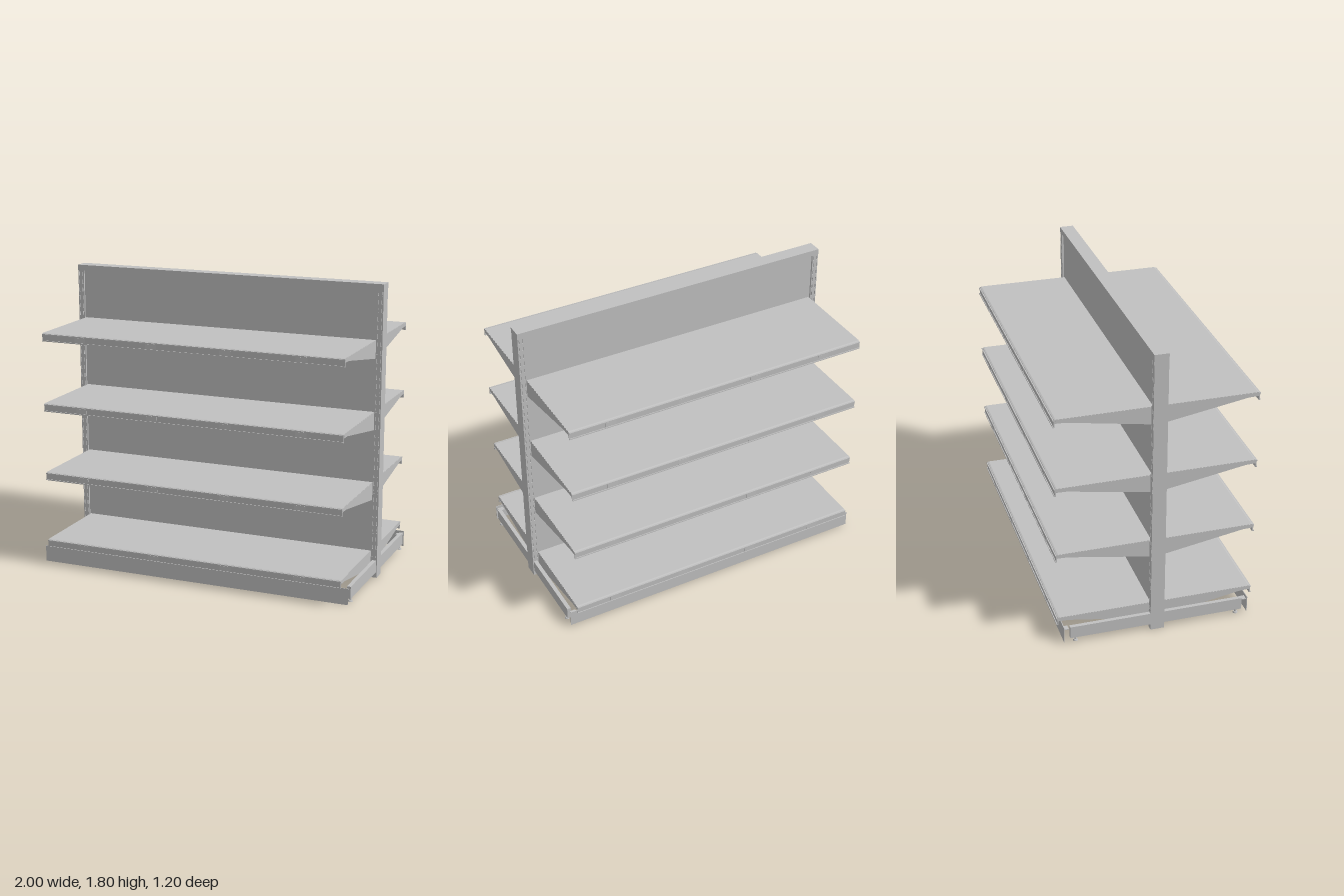
import * as THREE from 'three';

export function createModel() {
  const model = new THREE.Group();
  model.name = 'doubleSidedShelving';
  const metal = new THREE.MeshStandardMaterial({ color: 0xc0c0c0 });
  metal.name = 'grey painted steel';

  const add = (parent, name, geometry, x = 0, y = 0, z = 0) => {
    const mesh = new THREE.Mesh(geometry, metal);
    mesh.name = name;
    mesh.position.set(x, y, z);
    parent.add(mesh);
    return mesh;
  };
  // Box given by its limits on each axis
  const box = (parent, name, [x0, x1], [y0, y1], [z0, z1]) =>
    add(parent, name, new THREE.BoxGeometry(x1 - x0, y1 - y0, z1 - z0),
      (x0 + x1) / 2, (y0 + y1) / 2, (z0 + z1) / 2);
  // Side profile of [z, y] points, swept along x and centred on x = 0
  const sweep = (points, width) => {
    const shape = new THREE.Shape(points.map(([z, y]) => new THREE.Vector2(-z, y)));
    const geometry = new THREE.ExtrudeGeometry(shape, { depth: width, bevelEnabled: false });
    return geometry.translate(0, 0, -width / 2).rotateY(Math.PI / 2);
  };

  // Slotted post face
  const slotted = new THREE.Shape();
  slotted.moveTo(-0.019, 0).lineTo(0.019, 0).lineTo(0.019, 1.765).lineTo(-0.019, 1.765).closePath();
  for (let y = 0.13; y < 1.74; y += 0.05) {
    for (const x of [-0.011, 0.011]) {
      const hole = new THREE.Path();
      hole.moveTo(x - 0.003, y).lineTo(x - 0.003, y + 0.026)
        .lineTo(x + 0.003, y + 0.026).lineTo(x + 0.003, y).closePath();
      slotted.holes.push(hole);
    }
  }
  const postFace = new THREE.ExtrudeGeometry(slotted, { depth: 0.008, bevelEnabled: false });

  // Shelf profiles, measured from the shelf top
  const panProfile = [[0.03, 0], [0.585, 0], [0.594, -0.003], [0.598, -0.01],
    [0.597, -0.05], [0.591, -0.05], [0.591, -0.025], [0.03, -0.025]];
  const bracketProfile = [[0.03, -0.002], [0.585, -0.002], [0.59, -0.024],
    [0.53, -0.026], [0.04, -0.11], [0.03, -0.11]];
  const panGeometry = sweep(panProfile, 1.91);
  const bracketGeometry = sweep(bracketProfile, 0.01);

  function makeShelf(y) {
    const shelf = new THREE.Group();
    shelf.name = 'shelf';
    shelf.position.y = y;
    add(shelf, 'shelfPan', panGeometry);
    for (const side of [-1, 1]) add(shelf, 'shelfBracket', bracketGeometry, side * 0.951);
    // Price channel on the front lip
    box(shelf, 'channelTopRail', [-0.955, 0.955], [-0.011, -0.005], [0.594, 0.602]);
    box(shelf, 'channelBottomRail', [-0.955, 0.955], [-0.05, -0.044], [0.592, 0.602]);
    for (const x of [-0.7, -0.235, 0.235, 0.7])
      box(shelf, 'channelClip', [x - 0.035, x + 0.035], [-0.042, -0.013], [0.596, 0.6]);
    return shelf;
  }

  // Posts, top cap and back panel
  for (const side of [-1, 1]) {
    const post = new THREE.Group();
    post.name = 'post';
    post.position.x = side * 0.98;
    box(post, 'postCore', [-0.019, 0.019], [0, 1.765], [-0.034, 0.034]);
    for (const turn of [0, Math.PI]) {
      const pivot = new THREE.Group();
      pivot.name = 'slottedFace';
      pivot.rotation.y = turn;
      add(pivot, 'slottedPlate', postFace, 0, 0, 0.034);
      post.add(pivot);
    }
    model.add(post);
  }
  box(model, 'topCap', [-1, 1], [1.765, 1.8], [-0.043, 0.043]);
  box(model, 'backPanel', [-0.962, 0.962], [0.09, 1.766], [-0.03, 0.03]);

  // Shelves and base, repeated on both faces
  for (const turn of [0, Math.PI]) {
    const half = new THREE.Group();
    half.name = turn ? 'backSide' : 'frontSide';
    half.rotation.y = turn;
    for (const y of [0.165, 0.598, 1.032, 1.466]) half.add(makeShelf(y));

    box(half, 'kickPlate', [-0.99, 0.99], [0.01, 0.11], [0.564, 0.568]);
    for (const side of [-1, 1]) {
      const tab = box(half, 'kickTab', [-0.018, 0.018], [0.088, 0.092], [0.535, 0.565]);
      tab.position.x = side * 0.962;
      const leg = box(half, 'baseLeg', [-0.012, 0.012], [0.035, 0.11], [0.04, 0.53]);
      leg.position.x = side * 0.982;
      add(half, 'footStem', new THREE.CylinderGeometry(0.006, 0.006, 0.03, 12), side * 0.982, 0.025, 0.497);
      add(half, 'footPad', new THREE.CylinderGeometry(0.012, 0.015, 0.008, 16), side * 0.982, 0.013, 0.497);
    }
    model.add(half);
  }
  return model;
}
